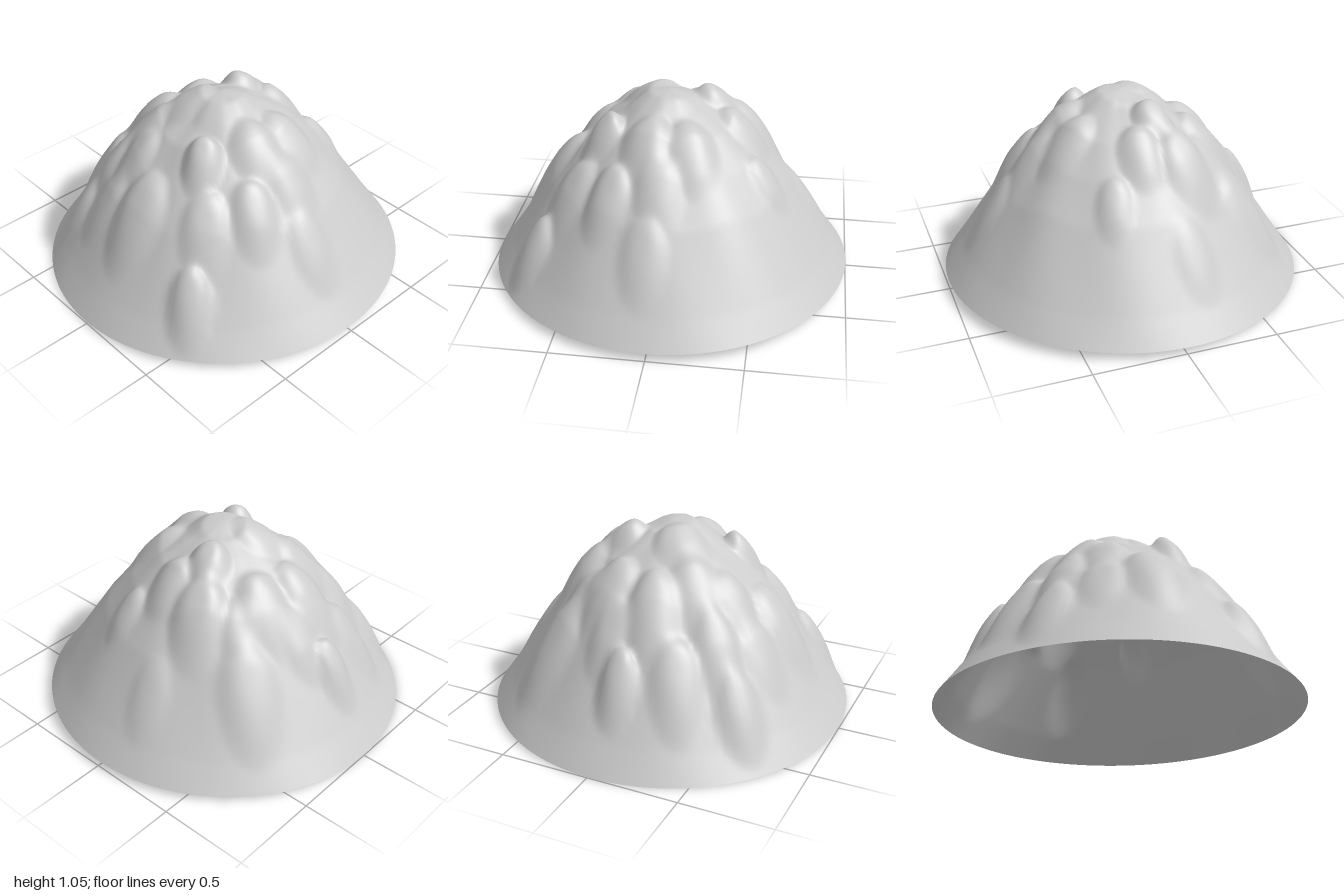
import * as THREE from 'three';

// Slope of the mound: [radius, height]
const PROFILE = [[0, 0.995], [0.12, 0.985], [0.22, 0.93], [0.35, 0.85], [0.5, 0.7], [0.65, 0.515], [0.8, 0.29], [0.9, 0.14], [1, 0]];

// Embedded boulders: [x, z, radius, rise above the slope]
const LUMPS = [
  [-0.05, 0.07, 0.2, 0.035], [-0.12, -0.13, 0.17, 0.05], [0.23, -0.1, 0.13, 0.09], [0.42, -0.2, 0.17, 0.1],
  [0.38, 0.02, 0.14, 0.06], [0.53, 0.22, 0.11, 0.05], [-0.33, 0.2, 0.12, 0.1], [-0.08, 0.33, 0.16, 0.065],
  [0.14, 0.34, 0.16, 0.05], [-0.63, 0.02, 0.18, 0.085], [-0.68, 0.48, 0.13, 0.1], [-0.48, 0.38, 0.15, 0.07],
  [-0.26, 0.51, 0.14, 0.07], [0.0, 0.5, 0.15, 0.05], [-0.05, 0.72, 0.14, 0.05], [-0.44, -0.2, 0.14, 0.06],
  [-0.28, -0.3, 0.17, 0.06], [-0.12, -0.47, 0.18, 0.08], [0.16, -0.42, 0.17, 0.07], [0.07, -0.58, 0.14, 0.06],
  [-0.32, -0.63, 0.16, 0.08], [-0.04, -0.73, 0.12, 0.11], [0.43, -0.56, 0.19, 0.07], [-0.62, -0.52, 0.14, 0.08],
  [-0.62, -0.25, 0.14, 0.05], [0.74, -0.14, 0.13, 0.03], [0.32, -0.4, 0.14, 0.05], [-0.45, -0.42, 0.15, 0.07]
];

function slope(r) {
  const i = Math.max(1, PROFILE.findIndex(p => p[0] >= r - 1e-9));
  const [r0, h0] = PROFILE[i - 1], [r1, h1] = PROFILE[i];
  return h0 + (h1 - h0) * (r - r0) / (r1 - r0);
}

function heightAt(x, z) {
  const r = Math.min(1, Math.hypot(x, z));
  const a = Math.atan2(z, x);
  let bumps = 0;
  for (const [cx, cz, size, rise] of LUMPS) {
    // split the offset into downhill and sideways; boulders trail off downhill
    const cr = Math.hypot(cx, cz), dx = x - cx, dz = z - cz;
    const down = (dx * cx + dz * cz) / cr, across = (dz * cx - dx * cz) / cr;
    const d = Math.hypot(down > 0 ? down / 1.25 : down, across) / size;
    if (d < 1) bumps += (rise * (1 - d ** 3) ** 2) ** 2;
  }
  // shallow gullies running down the slope
  const gullies = 0.04 * r * r * (1 - r) * (Math.sin(7 * a + 1) + Math.sin(11 * a + 5 * r));
  // slightly tilted base plane
  return slope(r) + Math.sqrt(bumps) + gullies + 0.027 + 0.013 * x + 0.022 * z;
}

export function createModel() {
  const group = new THREE.Group();
  group.name = 'rockyMound';

  // Open shell: rings from the summit to the round rim
  const rings = 72, sides = 168;
  const positions = [0, heightAt(0, 0), 0], index = [];
  for (let i = 1; i <= rings; i++) {
    for (let j = 0; j < sides; j++) {
      const r = i / rings, a = j / sides * Math.PI * 2;
      const x = r * Math.cos(a), z = r * Math.sin(a);
      positions.push(x, heightAt(x, z), z);
    }
  }
  const at = (i, j) => 1 + (i - 1) * sides + j % sides;
  for (let j = 0; j < sides; j++) {
    index.push(0, at(1, j + 1), at(1, j));
    for (let i = 1; i < rings; i++) {
      const a = at(i, j), b = at(i, j + 1), c = at(i + 1, j), d = at(i + 1, j + 1);
      index.push(a, b, c, b, d, c);
    }
  }
  const geometry = new THREE.BufferGeometry();
  geometry.setAttribute('position', new THREE.Float32BufferAttribute(positions, 3));
  geometry.setIndex(index);
  geometry.computeVertexNormals();

  const shell = new THREE.Mesh(geometry, new THREE.MeshStandardMaterial({ color: 0xcccccc, side: THREE.DoubleSide }));
  shell.name = 'moundShell';
  group.add(shell);
  return group;
}
